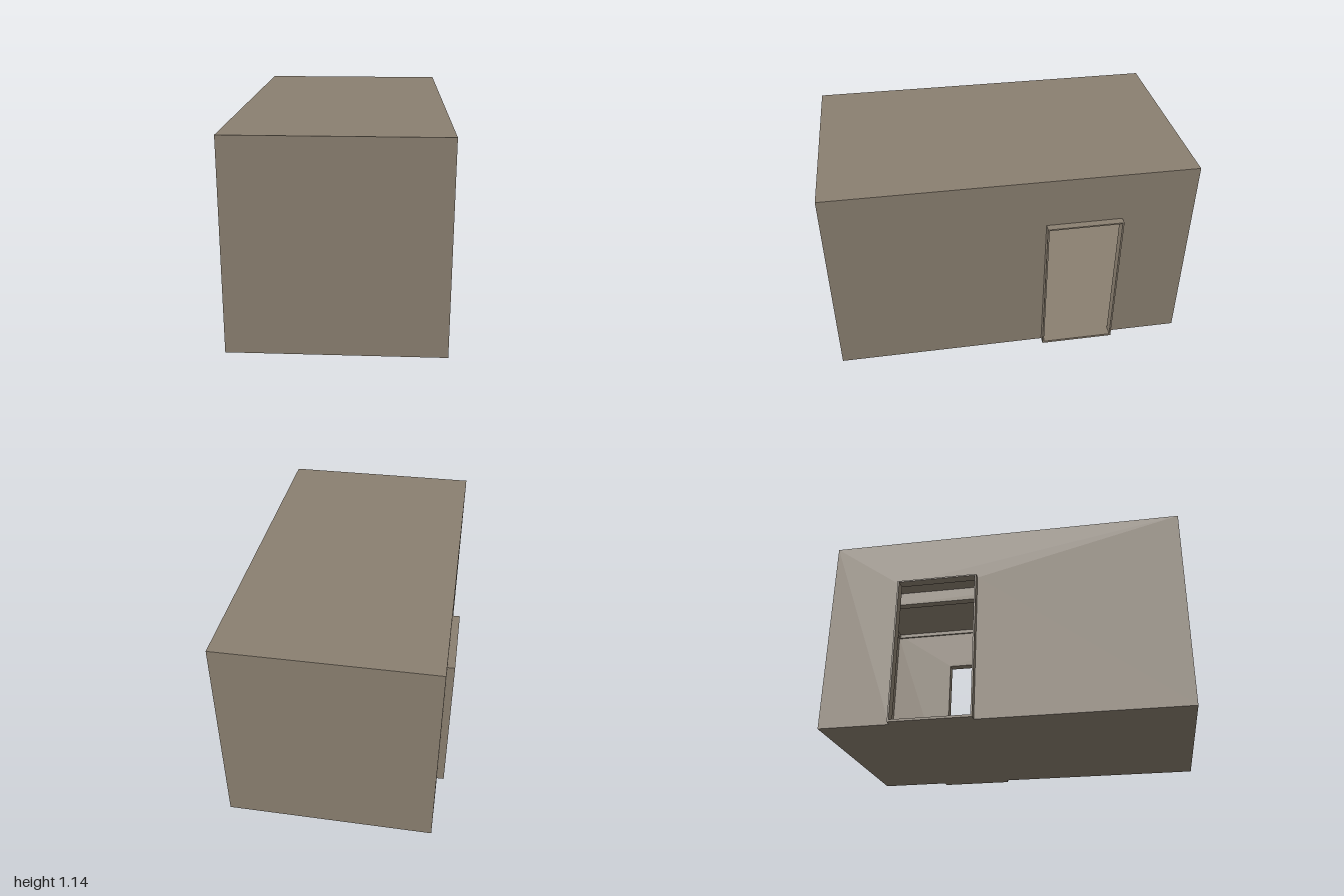
import * as THREE from 'three';

const HALF_W = 0.57, HALF_L = 1, H = 1.14; // outer room size
const T = 0.012;                           // wall, floor and ceiling thickness
const DOOR_TOP = 0.857, DOOR_BACK = -0.6;
const IN_X = HALF_W - T, IN_Z = HALF_L - T;

// Doorways: side of the room and front edge of the opening
const DOORS = [
  { side: 1, name: 'left', front: -0.18 },
  { side: -1, name: 'right', front: -0.14 },
];

export function createModel() {
  const room = new THREE.Group();
  room.name = 'room';
  const plaster = new THREE.MeshStandardMaterial({ color: 0x8a7f70 });
  plaster.name = 'taupe plaster';

  const add = (name, geometry) => {
    const mesh = new THREE.Mesh(geometry, plaster);
    mesh.name = name;
    room.add(mesh);
    return mesh;
  };
  // Box given by its low and high corners
  const box = (name, x0, x1, y0, y1, z0, z1) => add(name,
    new THREE.BoxGeometry(x1 - x0, y1 - y0, z1 - z0)
      .translate((x0 + x1) / 2, (y0 + y1) / 2, (z0 + z1) / 2));
  // Outline in (z, y), extruded along x from x0 to x1
  const slab = (name, shape, x0, x1) => add(name,
    new THREE.ExtrudeGeometry(shape, { depth: x1 - x0, bevelEnabled: false })
      .rotateY(-Math.PI / 2).translate(x1, 0, 0));
  const outline = (pts) => new THREE.Shape(pts.map(([z, y]) => new THREE.Vector2(z, y)));
  const rect = (z0, z1, y0, y1) => outline([[z0, y0], [z1, y0], [z1, y1], [z0, y1]]);
  // Low and high x for a span measured outward from the centre on one side
  const span = (side, a, b) => (side > 0 ? [a, b] : [-b, -a]);

  // Floor, ceiling and end walls
  box('floor', -IN_X, IN_X, 0, T, -IN_Z, IN_Z);
  box('ceiling', -IN_X, IN_X, H - T, H, -IN_Z, IN_Z);
  box('frontWall', -IN_X, IN_X, 0, H, IN_Z, HALF_L);
  box('backWall', -IN_X, IN_X, 0, H, -HALF_L, -IN_Z);

  for (const { side, name, front } of DOORS) {
    // Side wall notched for its doorway
    slab(name + 'Wall', outline([
      [-HALF_L, 0], [DOOR_BACK, 0], [DOOR_BACK, DOOR_TOP], [front, DOOR_TOP],
      [front, 0], [HALF_L, 0], [HALF_L, H], [-HALF_L, H],
    ]), ...span(side, IN_X, HALF_W));

    // Thin door frame standing out from the wall
    const frame = rect(DOOR_BACK, front, 0, DOOR_TOP);
    frame.holes.push(rect(DOOR_BACK + 0.009, front - 0.009, 0.013, DOOR_TOP - 0.008));
    slab(name + 'DoorFrame', frame, ...span(side, IN_X - 0.003, 0.61));

    // Skirting on both sides of the doorway, cornice along the whole wall
    const skirtX = span(side, IN_X - 0.01, IN_X);
    box(name + 'SkirtingBack', ...skirtX, T, 0.055, -IN_Z, DOOR_BACK);
    box(name + 'SkirtingFront', ...skirtX, T, 0.055, front, IN_Z);
    box(name + 'Cornice', ...span(side, IN_X - 0.012, IN_X), H - T - 0.025, H - T, -IN_Z, IN_Z);
  }

  // Skirting and cornice on the end walls
  for (const [name, side] of [['front', 1], ['back', -1]]) {
    box(name + 'Skirting', -IN_X + 0.01, IN_X - 0.01, T, 0.055, ...span(side, IN_Z - 0.01, IN_Z));
    box(name + 'Cornice', -IN_X + 0.012, IN_X - 0.012, H - T - 0.025, H - T,
      ...span(side, IN_Z - 0.012, IN_Z));
  }

  // Beam down the middle of the ceiling
  box('ceilingBeam', -0.025, 0.025, H - T - 0.085, H - T, -IN_Z + 0.012, IN_Z - 0.012);

  return room;
}
